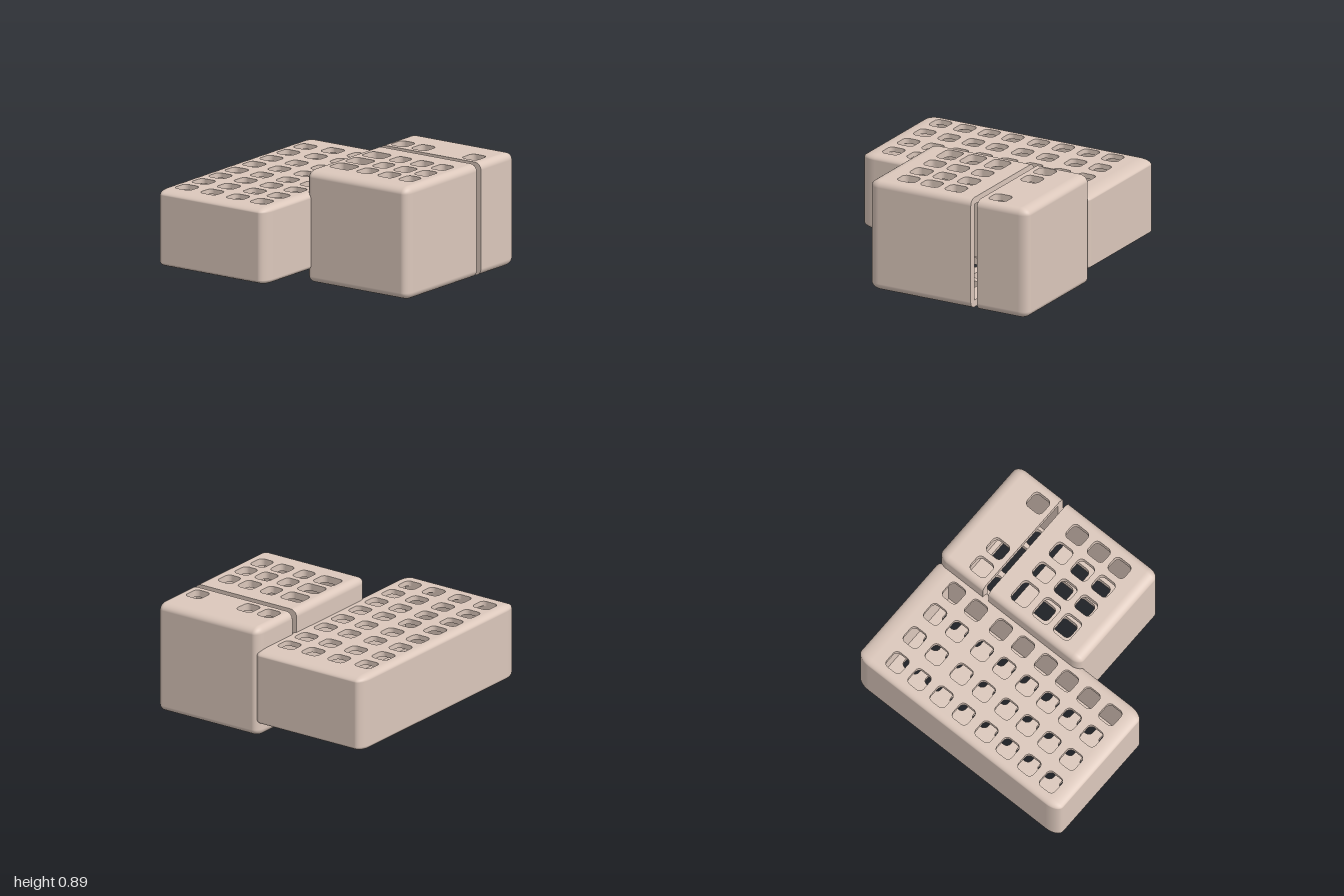
import * as THREE from 'three';

const material = new THREE.MeshStandardMaterial({ color: 0xdcc8bc, side: THREE.DoubleSide });

// Rounded rectangle with elliptical corners, traced on a Shape or Path
function roundRect(path, x0, x1, y0, y1, rx, ry) {
  const q = Math.PI / 2;
  path.moveTo(x1, y0 + ry);
  path.absellipse(x1 - rx, y1 - ry, rx, ry, 0, q);
  path.absellipse(x0 + rx, y1 - ry, rx, ry, q, 2 * q);
  path.absellipse(x0 + rx, y0 + ry, rx, ry, 2 * q, 3 * q);
  path.absellipse(x1 - rx, y0 + ry, rx, ry, 3 * q, 4 * q);
  return path;
}

// Rounded outer skin without its flat caps; cut = 1 or -1 leaves that z end open and square
function skinGeometry({ x, y, z, r, cut }) {
  const steps = 8, q = Math.PI / 2;
  const pos = [], nor = [], index = [];
  const signs = [[1, 1], [-1, 1], [-1, -1], [1, -1]];
  const ring = [];
  signs.forEach(([sx, sz], c) => {
    const square = sz === cut;
    const cx = sx > 0 ? x[1] - r[0] : x[0] + r[0];
    const cz = sz > 0 ? z[1] - (square ? 0 : r[2]) : z[0] + (square ? 0 : r[2]);
    if (square) ring.push({ cx, cz, dx: sx, dz: 0 });
    else for (let i = 0; i <= steps; i++) {
      const a = (c + i / steps) * q;
      ring.push({ cx, cz, dx: Math.cos(a), dz: Math.sin(a) });
    }
  });
  const n = ring.length, layers = 2 * (steps + 1);
  for (let j = 0; j < layers; j++) {
    const top = j > steps;
    const phi = (top ? (j - steps - 1) / steps : j / steps - 1) * q;
    const cy = top ? y[1] - r[1] : y[0] + r[1];
    for (const p of ring) {
      const d = [p.dx * Math.cos(phi), Math.sin(phi), p.dz * Math.cos(phi)];
      pos.push(p.cx + r[0] * d[0], cy + r[1] * d[1], p.cz + r[2] * d[2]);
      nor.push(...new THREE.Vector3(d[0] / r[0], d[1] / r[1], d[2] / r[2]).normalize().toArray());
    }
  }
  for (let j = 0; j < layers - 1; j++) for (let i = 0; i < n; i++) {
    const k = (i + 1) % n;
    if (cut && ring[i].dz === 0 && ring[k].dz === 0 && ring[i].cz === ring[k].cz) continue;
    const a = j * n + i, b = j * n + k;
    index.push(a, a + n, b, b, a + n, b + n);
  }
  const g = new THREE.BufferGeometry();
  g.setAttribute('position', new THREE.Float32BufferAttribute(pos, 3));
  g.setAttribute('normal', new THREE.Float32BufferAttribute(nor, 3));
  g.setIndex(index);
  return g;
}

// Hollow rounded case with pierced top and bottom plates
function makeCase(name, spec) {
  const { x, y, z, r, cut, top, bottom } = spec;
  const group = new THREE.Group();
  group.name = name;
  const add = (part, geometry) => {
    const mesh = new THREE.Mesh(geometry, material);
    mesh.name = part;
    group.add(mesh);
    return mesh;
  };
  const ix = [x[0] + r[0], x[1] - r[0]];
  const iy = [y[0] + r[1], y[1] - r[1]];
  const iz = [z[0] + (cut === -1 ? 0 : r[2]), z[1] - (cut === 1 ? 0 : r[2])];

  add('outerSkin', skinGeometry(spec));

  // Plates: s = 1 for the top, -1 for the bottom
  const plate = (part, s, holes) => {
    const f = (v) => -s * v;
    const shape = new THREE.Shape([[0, 0], [1, 0], [1, 1], [0, 1]]
      .map(([i, j]) => new THREE.Vector2(ix[i], f(iz[j]))));
    for (const [hx, hz, w, h] of holes) {
      shape.holes.push(roundRect(new THREE.Path(), hx - w / 2, hx + w / 2,
        f(hz) - h / 2, f(hz) + h / 2, 0.04, 0.04));
    }
    const g = new THREE.ExtrudeGeometry(shape, { depth: r[1], bevelEnabled: false, curveSegments: 5 });
    g.translate(0, 0, -r[1]);
    g.rotateX(-s * Math.PI / 2);
    add(part, g).position.y = s > 0 ? y[1] : y[0];
  };
  plate('topPlate', 1, top);
  plate('bottomPlate', -1, bottom);

  // Inner walls: box sides only, without the open end
  const box = new THREE.BoxGeometry(ix[1] - ix[0], iy[1] - iy[0], iz[1] - iz[0]);
  const sides = [0, 1, ...(cut === 1 ? [] : [4]), ...(cut === -1 ? [] : [5])];
  const all = Array.from(box.index.array);
  box.setIndex(sides.flatMap((f) => all.slice(f * 6, f * 6 + 6)));
  box.clearGroups();
  add('innerWalls', box).position.set((ix[0] + ix[1]) / 2, (iy[0] + iy[1]) / 2, (iz[0] + iz[1]) / 2);

  // Rim of the wall at the open end
  if (cut) {
    const rim = roundRect(new THREE.Shape(), x[0], x[1], y[0], y[1], r[0], r[1]);
    rim.holes.push(new THREE.Path([[0, 0], [0, 1], [1, 1], [1, 0]]
      .map(([i, j]) => new THREE.Vector2(ix[i], iy[j]))));
    const g = new THREE.ShapeGeometry(rim, 8);
    if (cut < 0) g.rotateY(Math.PI).scale(1, 1, 1);
    const mesh = add('cutRim', g);
    mesh.position.z = cut > 0 ? z[1] : z[0];
    if (cut < 0) mesh.position.x = x[0] + x[1];
  }
  return group;
}

export function createModel() {
  const model = new THREE.Group();
  model.name = 'perforatedCases';

  // Holes as [x, z, width, depth]
  const rows = [-0.745, -0.527, -0.28, -0.06, 0.165, 0.375, 0.59, 0.805];
  const lowHoles = [-0.815, -0.575, -0.33, -0.105].flatMap((hx, c) =>
    rows.map((hz, i) => [hx, hz + (c === 0 && i < 2 ? 0.028 : 0), 0.152, 0.146]));
  const frontHoles = [[0.185, 0.195], [0.41, 0.135], [0.615, 0.145], [0.808, 0.135]]
    .flatMap(([hx, w]) => [-0.28, -0.065, 0.14].map((hz) => [hx, hz, w, 0.157]));
  const backHoles = [0.143, 0.337, 0.817].map((hx) => [hx, -0.675, 0.143, 0.155]);
  const hatch = [0.58, -0.74, 0.26, 0.27];

  const tall = { x: [0.01, 0.97], y: [0, 0.89], r: [0.058, 0.056, 0.085] };
  model.add(
    makeCase('lowCase', {
      x: [-0.97, 0.06], y: [0.1, 0.71], z: [-1, 1], r: [0.065, 0.04, 0.12],
      cut: 0, top: lowHoles, bottom: lowHoles,
    }),
    makeCase('tallFrontCase', { ...tall, z: [-0.5, 0.4], cut: -1, top: frontHoles, bottom: frontHoles }),
    makeCase('tallBackCase', { ...tall, z: [-1, -0.555], cut: 1, top: backHoles, bottom: [...backHoles, hatch] }),
  );
  return model;
}
